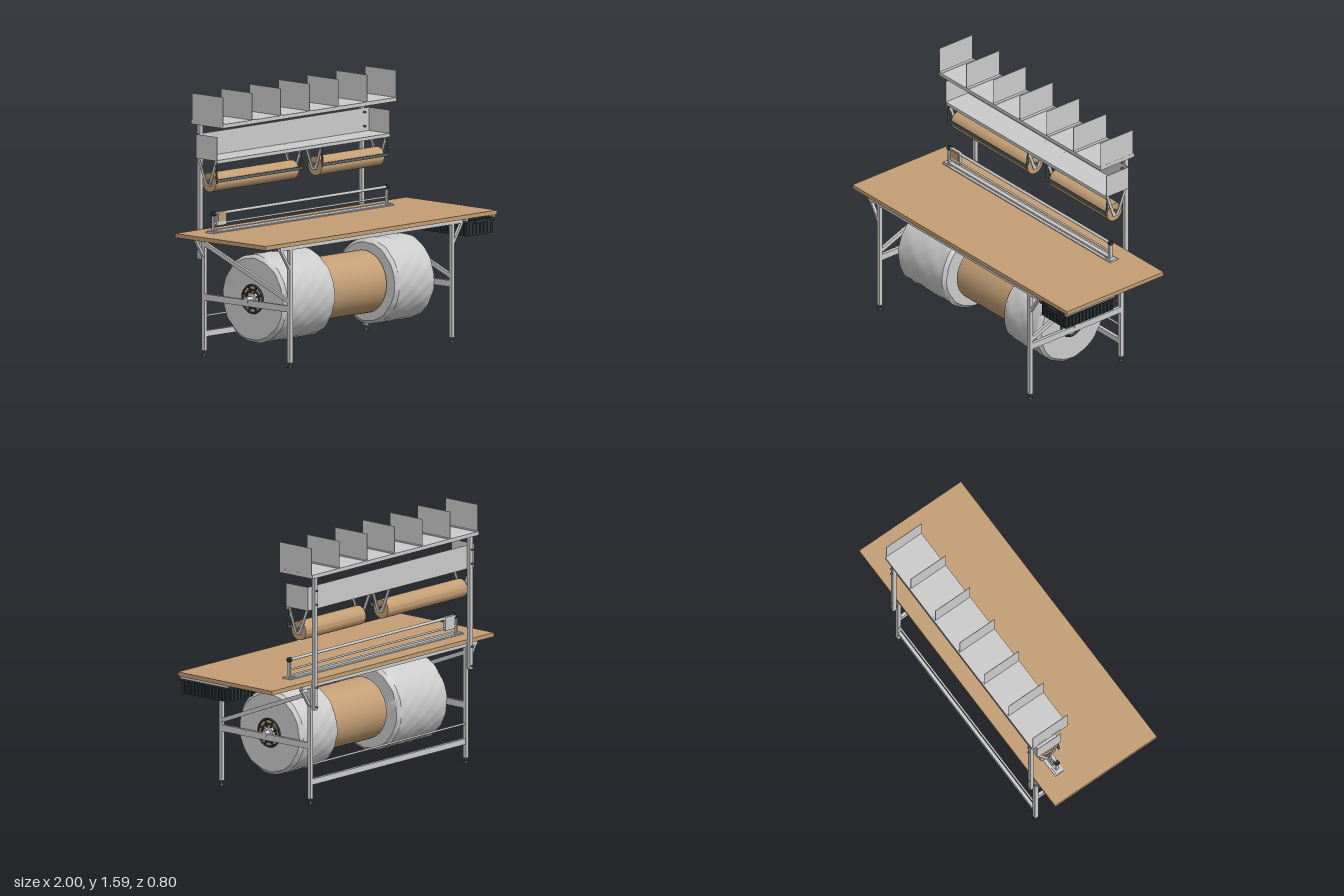
import * as THREE from 'three';
import { toCreasedNormals } from 'three/addons/utils/BufferGeometryUtils.js';

const mat = (color, side = THREE.FrontSide) => new THREE.MeshStandardMaterial({ color, side });

export function createModel() {
  const root = new THREE.Group();
  const steel = mat(0xcccccc), sheet = mat(0xcccccc, THREE.DoubleSide);
  const tan = mat(0xc39e74), dark = mat(0x2c3435), gunmetal = mat(0x5c6465);
  const legX = [-0.77, 0.63];

  const add = (name, geo, m, parent = root) => {
    const mesh = new THREE.Mesh(geo, m);
    mesh.name = name;
    parent.add(mesh);
    return mesh;
  };
  const group = (name) => {
    const g = new THREE.Group();
    g.name = name;
    root.add(g);
    return g;
  };
  // Box given by its limits on each axis
  const box = (name, x0, x1, y0, y1, z0, z1, m = steel, parent = root) => {
    const mesh = add(name, new THREE.BoxGeometry(x1 - x0, y1 - y0, z1 - z0), m, parent);
    mesh.position.set((x0 + x1) / 2, (y0 + y1) / 2, (z0 + z1) / 2);
    return mesh;
  };
  // Sloping bar between two points
  const bar = (name, a, b, w, h, m = steel, parent = root) => {
    const p = new THREE.Vector3(...a), q = new THREE.Vector3(...b);
    const mesh = add(name, new THREE.BoxGeometry(w, h, p.distanceTo(q)), m, parent);
    mesh.position.copy(p).add(q).multiplyScalar(0.5);
    mesh.lookAt(q);
    return mesh;
  };
  // Cylinder lying along x
  const rod = (name, x0, x1, y, z, r, m = steel, parent = root, seg = 24) => {
    const mesh = add(name, new THREE.CylinderGeometry(r, r, x1 - x0, seg).rotateZ(-Math.PI / 2), m, parent);
    mesh.position.set((x0 + x1) / 2, y, z);
    return mesh;
  };

  // Table top and its frame
  box('tableTop', -1, 1, 0.735, 0.76, -0.36, 0.39, tan);
  for (const z of [0.37, -0.338]) box('tableBeam', -0.865, 0.715, 0.713, 0.735, z - 0.012, z + 0.012);
  for (const x of legX) {
    box('tableCrossBeam', x - 0.012, x + 0.012, 0.713, 0.735, -0.326, 0.358);
    const out = Math.sign(x);
    for (const z of [0.37, -0.338]) {
      box('leg', x - 0.012, x + 0.012, 0.03, 0.714, z - 0.012, z + 0.012);
      bar('cornerBrace', [x + out * 0.008, 0.6, z], [x + out * 0.085, 0.718, z], 0.018, 0.016);
      const stem = add('footStem', new THREE.CylinderGeometry(0.006, 0.006, 0.024, 12), gunmetal);
      stem.position.set(x, 0.02, z);
      const foot = add('foot', new THREE.CylinderGeometry(0.009, 0.017, 0.012, 16), dark);
      foot.position.set(x, 0.006, z);
    }
    // Side rail, diagonal and rear upright
    box('sideRail', x - 0.01, x + 0.01, 0.335, 0.374, -0.326, 0.358);
    bar('sideDiagonal', [x, 0.403, 0.358], [x, 0.675, -0.328], 0.018, 0.026);
    box('upright', x - 0.012, x + 0.012, 0.58, 1.42, -0.385, -0.361);
    for (const y of [0.6, 0.72, 1.23, 1.315]) {
      const bolt = add('uprightBolt', new THREE.CylinderGeometry(0.006, 0.006, 0.056, 8).rotateX(Math.PI / 2), gunmetal);
      bolt.position.set(x, y, -0.368);
    }
  }
  box('rearStretcher', -0.758, 0.618, 0.115, 0.15, -0.348, -0.328);
  rod('rearRod', -0.77, 0.63, 0.24, -0.338, 0.006);

  // Top shelf with downturned rim and dividers
  const shelf = group('topShelf');
  box('shelfSheet', -0.82, 0.68, 1.415, 1.421, -0.4, -0.135, steel, shelf);
  for (const z of [-0.4, -0.138]) box('shelfRim', -0.82, 0.68, 1.398, 1.415, z, z + 0.003, steel, shelf);
  for (const x of [-0.82, 0.677]) box('shelfEnd', x, x + 0.003, 1.398, 1.415, -0.397, -0.138, steel, shelf);
  for (const x of legX) box('shelfArm', x - 0.01, x + 0.01, 1.4, 1.415, -0.36, -0.14, steel, shelf);
  for (let i = 0; i < 7; i++) {
    const x = -0.818 + i * 0.2493;
    box('divider', x - 0.0015, x + 0.0015, 1.421, 1.585, -0.392, -0.135, steel, shelf);
    box('dividerFoot', x - 0.0015, x + (i < 6 ? 0.02 : 0.002), 1.421, 1.424, -0.392, -0.135, steel, shelf);
  }

  // Lower tray, open at the top and front
  const tray = group('tray');
  box('trayFloor', -0.818, 0.675, 1.195, 1.199, -0.358, -0.185, steel, tray);
  box('trayBack', -0.818, 0.675, 1.195, 1.34, -0.36, -0.356, steel, tray);
  box('trayLip', -0.818, 0.675, 1.178, 1.199, -0.188, -0.185, steel, tray);
  for (const x of [-0.82, 0.673]) box('trayEnd', x, x + 0.003, 1.195, 1.34, -0.356, -0.185, steel, tray);

  // Hollow roll profile turned about the x axis
  const tube = (name, x0, x1, y, z, r, hole, m, parent) => {
    const h = (x1 - x0) / 2;
    const pts = [[hole, -h], [r, -h], [r, h], [hole, h], [hole, -h]].map(p => new THREE.Vector2(...p));
    const geo = toCreasedNormals(new THREE.LatheGeometry(pts, 48).rotateZ(-Math.PI / 2), 0.6);
    add(name, geo, m, parent).position.set((x0 + x1) / 2, y, z);
  };

  // Hanging paper rolls with V hangers and tear bars
  for (const [x0, x1] of [[-0.8, -0.085], [0.115, 0.655]]) {
    const g = group('hangingRoll');
    tube('paperRoll', x0, x1, 1.056, -0.268, 0.058, 0.018, tan, g);
    rod('rollSpindle', x0 - 0.014, x1 + 0.014, 1.056, -0.268, 0.01, gunmetal, g);
    for (const x of [x0 - 0.01, x1 + 0.01]) {
      for (const z of [-0.2, -0.345]) bar('hanger', [x, 1.197, z], [x, 1.045, z < -0.268 ? -0.283 : -0.253], 0.005, 0.018, steel, g);
      box('hangerBase', x - 0.003, x + 0.003, 1.035, 1.065, -0.288, -0.248, steel, g);
      bar('tearBarArm', [x, 1.17, -0.205], [x, 1.06, -0.194], 0.007, 0.012, gunmetal, g);
    }
    box('tearBar', x0 - 0.01, x1 + 0.01, 1.062, 1.08, -0.2, -0.192, gunmetal, g);
  }

  // Cutting rail standing on the table
  const cutter = group('cuttingRail');
  box('railBase', -0.85, 0.71, 0.76, 0.766, -0.25, -0.185, steel, cutter);
  box('railTrack', -0.82, 0.68, 0.766, 0.778, -0.228, -0.202, steel, cutter);
  rod('guideRod', -0.82, 0.68, 0.873, -0.215, 0.009, steel, cutter);
  rod('lowerRod', -0.82, 0.68, 0.812, -0.215, 0.006, steel, cutter);
  for (const x of [-0.82, 0.68]) {
    box('railPost', x - 0.005, x + 0.005, 0.766, 0.865, -0.225, -0.205, steel, cutter);
    rod('rodCap', x - 0.01, x + 0.01, 0.873, -0.215, 0.015, dark, cutter);
    box('railClamp', x - 0.03, x + 0.03, 0.76, 0.772, -0.24, -0.195, steel, cutter);
  }
  box('cutterCarriage', -0.8, -0.715, 0.8, 0.882, -0.226, -0.206, steel, cutter);
  box('cutterFace', -0.79, -0.725, 0.825, 0.874, -0.206, -0.203, tan, cutter);

  // Large rolls on the axle under the table
  const AY = 0.373, AZ = 0.018;
  rod('axle', -0.785, 0.645, AY, AZ, 0.018);
  tube('brownRoll', -0.245, 0.235, 0.375, AZ, 0.19, 0.06, tan);
  const wrapRoll = (x0, x1, r, phase) => {
    const g = group('wrapRoll'), h = (x1 - x0) / 2;
    const pts = [[0.085, -h], [r * 0.6, -h], [r - 0.02, -h], [r, -h + 0.02]];
    for (let i = 1; i < 12; i++) pts.push([r, (-h + 0.02) * (1 - i / 6)]);
    pts.push([r, h - 0.02], [r - 0.02, h], [r * 0.6, h], [0.085, h], [0.085, -h]);
    const geo = new THREE.LatheGeometry(pts.map(p => new THREE.Vector2(...p)), 64);
    const p = geo.attributes.position;
    // Gentle wrinkles on the outer wrap
    for (let i = 0; i < p.count; i++) {
      const x = p.getX(i), y = p.getY(i), z = p.getZ(i), a = Math.atan2(z, x);
      if (Math.hypot(x, z) < r * 0.8) continue;
      const k = 1 + 0.007 * Math.sin(9 * a + y * 34 + phase) + 0.006 * Math.sin(17 * a - y * 55) + 0.004 * Math.cos(5 * a + y * 80);
      p.setXYZ(i, x * k, y, z * k);
    }
    add('wrap', toCreasedNormals(geo.rotateZ(-Math.PI / 2), 0.7), sheet, g).position.set((x0 + x1) / 2, AY, AZ);
    tube('core', x0 + 0.002, x1 - 0.002, AY, AZ, 0.086, 0.055, tan, g);
    // Spoked hubs at both ends
    for (const [x, s] of [[x0, -1], [x1, 1]]) {
      const ring = add('hubRing', new THREE.TorusGeometry(0.084, 0.006, 8, 40).rotateY(Math.PI / 2), dark, g);
      ring.position.set(x + s * 0.004, AY, AZ);
      const inner = add('hubInnerRing', new THREE.TorusGeometry(0.055, 0.006, 8, 32).rotateY(Math.PI / 2), dark, g);
      inner.position.copy(ring.position);
      for (let i = 0; i < 8; i++) {
        const spoke = add('hubSpoke', new THREE.BoxGeometry(0.008, 0.06, 0.008).translate(0, 0.052, 0), dark, g);
        spoke.position.copy(ring.position);
        spoke.rotation.x = (i + 0.5) * Math.PI / 4;
      }
      rod('hubCollar', x - 0.012, x + 0.012, AY, AZ, 0.036, steel, g);
    }
  };
  wrapRoll(-0.722, -0.272, 0.266, 0);
  wrapRoll(0.255, 0.597, 0.257, 2);

  // Ribbed drawer hung under the table end
  const bin = group('drawer');
  box('drawerFloor', 0.755, 0.97, 0.627, 0.633, 0.012, 0.378, dark, bin);
  for (const x of [0.75, 0.966]) box('drawerSide', x, x + 0.008, 0.627, 0.722, 0.012, 0.378, dark, bin);
  for (const z of [0.01, 0.372]) box('drawerEnd', 0.752, 0.972, 0.627, 0.722, z, z + 0.008, dark, bin);
  for (const x of [0.738, 0.972]) {
    box('drawerRim', x, x + 0.014, 0.706, 0.72, 0.006, 0.386, dark, bin);
    box('drawerRunner', x, x + 0.014, 0.72, 0.735, 0.006, 0.386, steel, bin);
  }
  for (const z of [0.004, 0.374]) box('drawerRim', 0.738, 0.986, 0.706, 0.72, z, z + 0.013, dark, bin);
  for (let i = 0; i < 13; i++) {
    const z = 0.03 + i * 0.027;
    for (const x of [0.743, 0.974]) box('drawerSideRib', x, x + 0.007, 0.635, 0.708, z, z + 0.006, dark, bin);
  }
  for (let i = 0; i < 7; i++) {
    const x = 0.767 + i * 0.031;
    for (const z of [0.004, 0.38]) box('drawerEndRib', x, x + 0.006, 0.635, 0.708, z, z + 0.006, dark, bin);
  }
  box('drawerHandle', 0.81, 0.91, 0.7, 0.722, 0.385, 0.398, dark, bin);

  return root;
}
